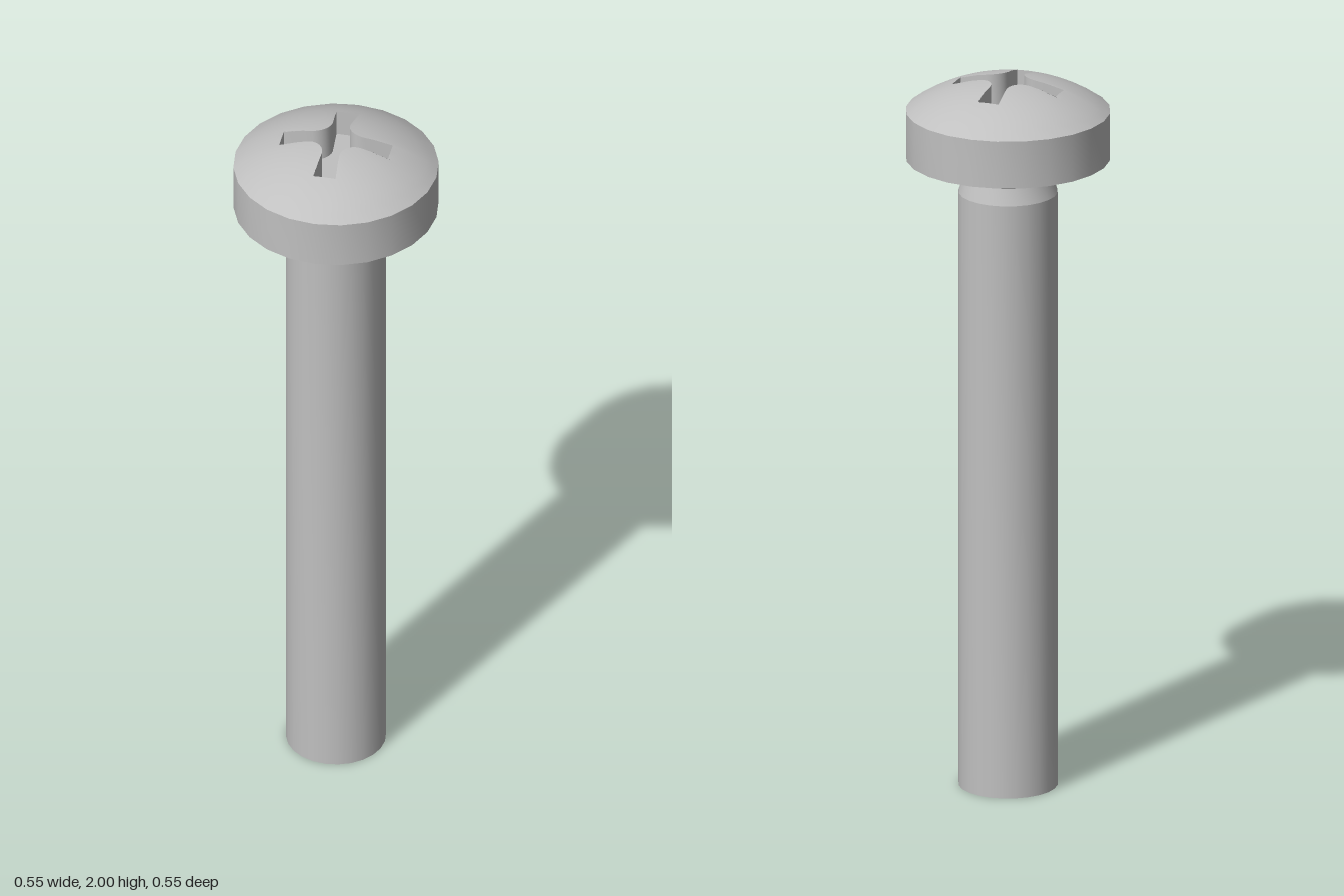
import * as THREE from 'three';
import { toCreasedNormals } from 'three/addons/utils/BufferGeometryUtils.js';

const SIDES = 24, COLS = 48;
const HEAD_R = 0.277, RIM_Y = 1.91, FLOOR_Y = 1.9;
const DOME_R = (HEAD_R ** 2 + 0.09 ** 2) / (2 * 0.09);

// height of the spherical dome at a given plan radius
const domeY = (r) => 2 - DOME_R + Math.sqrt(DOME_R ** 2 - r * r);

// plan outline of the cross recess: one eighth, mirrored and rotated
function crossOutline() {
  const eighth = [[0.15, 0], [0.15, 0.031], [0.099, 0.0265], [0.07, 0.024]];
  for (const deg of [15, 30, 45]) {
    const a = THREE.MathUtils.degToRad(deg);
    eighth.push([0.07 - 0.046 * Math.sin(a), 0.07 - 0.046 * Math.cos(a)]);
  }
  const quarter = [...eighth];
  for (let i = 5; i > 0; i--) quarter.push([eighth[i][1], eighth[i][0]]);
  const points = [];
  for (let q = 0; q < 4; q++) {
    for (const [x, z] of quarter) {
      points.push(new THREE.Vector2(x, z).rotateAround(new THREE.Vector2(), q * Math.PI / 2));
    }
  }
  return points;
}

// surface through closed rings of points, listed from the inside out
function loft(rings) {
  const positions = [], index = [];
  rings.forEach((ring) => ring.forEach((p) => positions.push(p.x, p.y, p.z)));
  for (let j = 0; j < rings.length - 1; j++) {
    for (let i = 0; i < COLS; i++) {
      const n = (i + 1) % COLS;
      const a = j * COLS + i, b = j * COLS + n, c = a + COLS, d = b + COLS;
      index.push(a, b, c, b, d, c);
    }
  }
  const geometry = new THREE.BufferGeometry();
  geometry.setAttribute('position', new THREE.Float32BufferAttribute(positions, 3));
  geometry.setIndex(index);
  geometry.computeVertexNormals();
  return geometry;
}

function lathe(profile) {
  const points = profile.map(([r, y]) => new THREE.Vector2(r, y));
  return toCreasedNormals(new THREE.LatheGeometry(points, SIDES), 0.3);
}

export function createModel() {
  const group = new THREE.Group();
  const steel = new THREE.MeshStandardMaterial({ color: 0xc0c0c0 });
  steel.name = 'steel';

  const add = (name, geometry) => {
    const mesh = new THREE.Mesh(geometry, steel);
    mesh.name = name;
    group.add(mesh);
  };

  // plain shank with a tapered neck flaring out below the head
  add('shank', lathe([[0, 0], [0.135, 0], [0.135, 1.68], [0.12, 1.725]]));
  add('neck', lathe([[0.12, 1.725], [0.17, 1.777]]));

  // underside and straight wall of the head
  add('headRim', lathe([[0.17, 1.777], [HEAD_R, 1.777], [HEAD_R, RIM_Y]]));

  // domed top, running from the recess edge out to the rim
  const outline = crossOutline();
  const rim = outline.map((_, i) => {
    const a = i * 2 * Math.PI / COLS;
    const r = i % 2 ? HEAD_R * Math.cos(Math.PI / SIDES) : HEAD_R;
    return new THREE.Vector2(r * Math.cos(a), r * Math.sin(a));
  });
  const domeRings = [];
  const STEPS = 8;
  for (let j = 0; j <= STEPS; j++) {
    domeRings.push(outline.map((p, i) => {
      const q = p.clone().lerp(rim[i], j / STEPS);
      return new THREE.Vector3(q.x, j === STEPS ? RIM_Y : domeY(q.length()), q.y);
    }));
  }
  add('dome', loft(domeRings));

  // cross recess: walls and flat floor
  const floorEdge = outline.map((p) => new THREE.Vector3(p.x, FLOOR_Y, p.y));
  const centre = outline.map(() => new THREE.Vector3(0, FLOOR_Y, 0));
  add('recessWalls', toCreasedNormals(loft([floorEdge, domeRings[0]]), 0.6));
  add('recessFloor', loft([centre, floorEdge]));

  return group;
}
